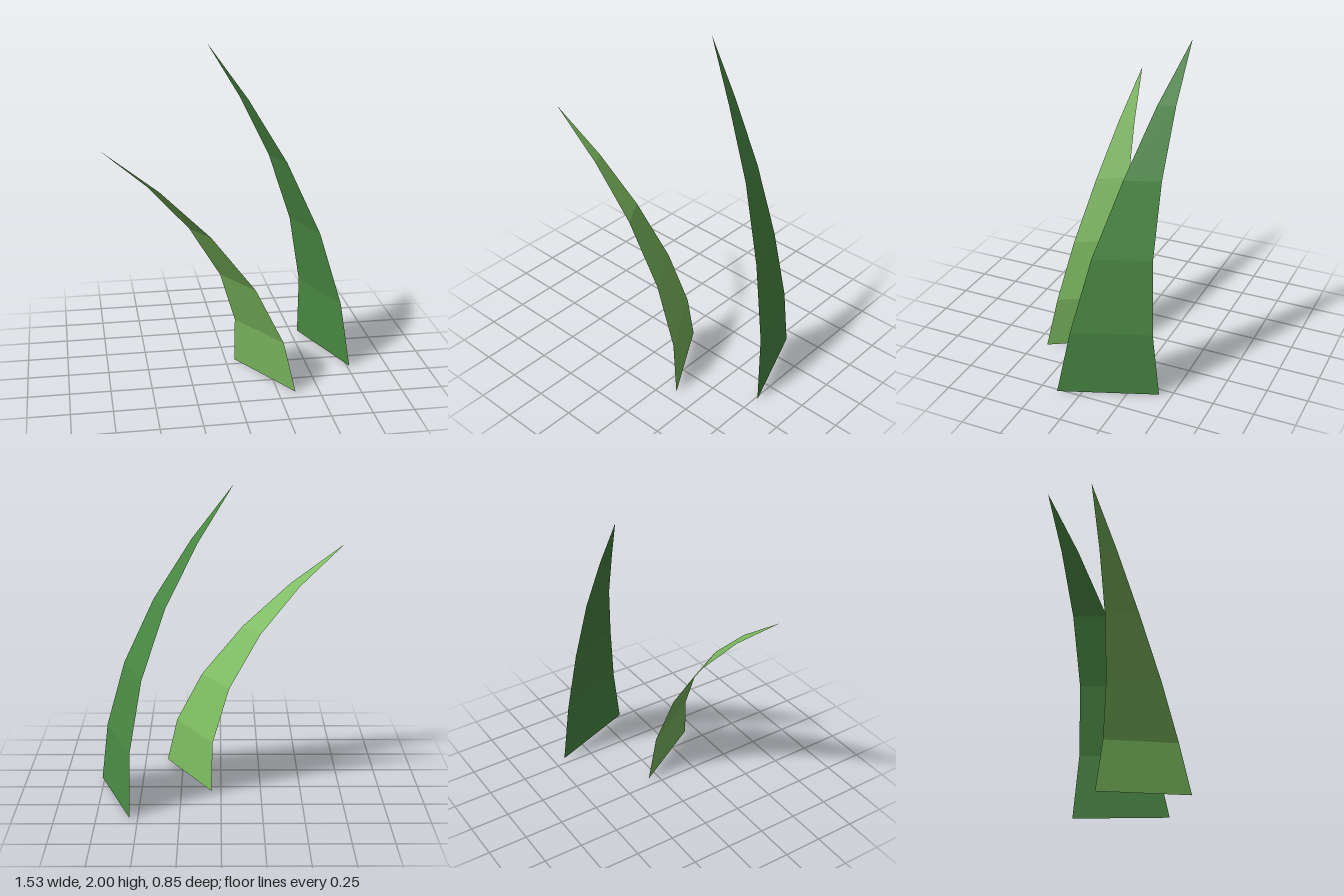
import * as THREE from 'three';

// Width of each blade at its six levels, as a share of the base width
const TAPER = [1, 0.795, 0.58, 0.36, 0.178, 0];

// A curved, tapering strip: spine points [x, y, z] and the half-width vector at the base
function blade(name, spine, halfX, halfZ, material) {
  const positions = [];
  const index = [];
  spine.forEach(([x, y, z], i) => {
    const w = TAPER[i];
    if (w === 0) {
      positions.push(x, y, z); // pointed tip
      return;
    }
    positions.push(x - halfX * w, y, z - halfZ * w, x + halfX * w, y, z + halfZ * w);
  });
  const last = spine.length - 1;
  for (let i = 0; i < last; i++) {
    const a = i * 2;
    index.push(a, a + 2, a + 1);
    if (i < last - 1) index.push(a + 1, a + 2, a + 3);
  }
  const indexed = new THREE.BufferGeometry();
  indexed.setAttribute('position', new THREE.Float32BufferAttribute(positions, 3));
  indexed.setIndex(index);
  const geometry = indexed.toNonIndexed();
  geometry.computeVertexNormals();
  const mesh = new THREE.Mesh(geometry, material);
  mesh.name = name;
  return mesh;
}

export function createModel() {
  const group = new THREE.Group();
  group.name = 'grassBlades';

  const green = (name, color) => {
    const material = new THREE.MeshStandardMaterial({ color, flatShading: true, side: THREE.DoubleSide });
    material.name = name;
    return material;
  };

  // Tall dark blade
  group.add(blade('tallBlade', [
    [0.658, 0, -0.143],
    [0.629, 0.4, -0.154],
    [0.528, 0.845, -0.179],
    [0.359, 1.28, -0.23],
    [0.15, 1.665, -0.284],
    [-0.07, 2, -0.347],
  ], 0.108, 0.284, green('dark green', 0x4a8a43)));

  // Short light blade, bent further over
  group.add(blade('shortBlade', [
    [0.207, 0, 0.181],
    [0.17, 0.305, 0.184],
    [0.035, 0.642, 0.196],
    [-0.193, 0.976, 0.215],
    [-0.461, 1.262, 0.238],
    [-0.768, 1.52, 0.265],
  ], 0.148, 0.245, green('light green', 0x7cba5f)));

  return group;
}
